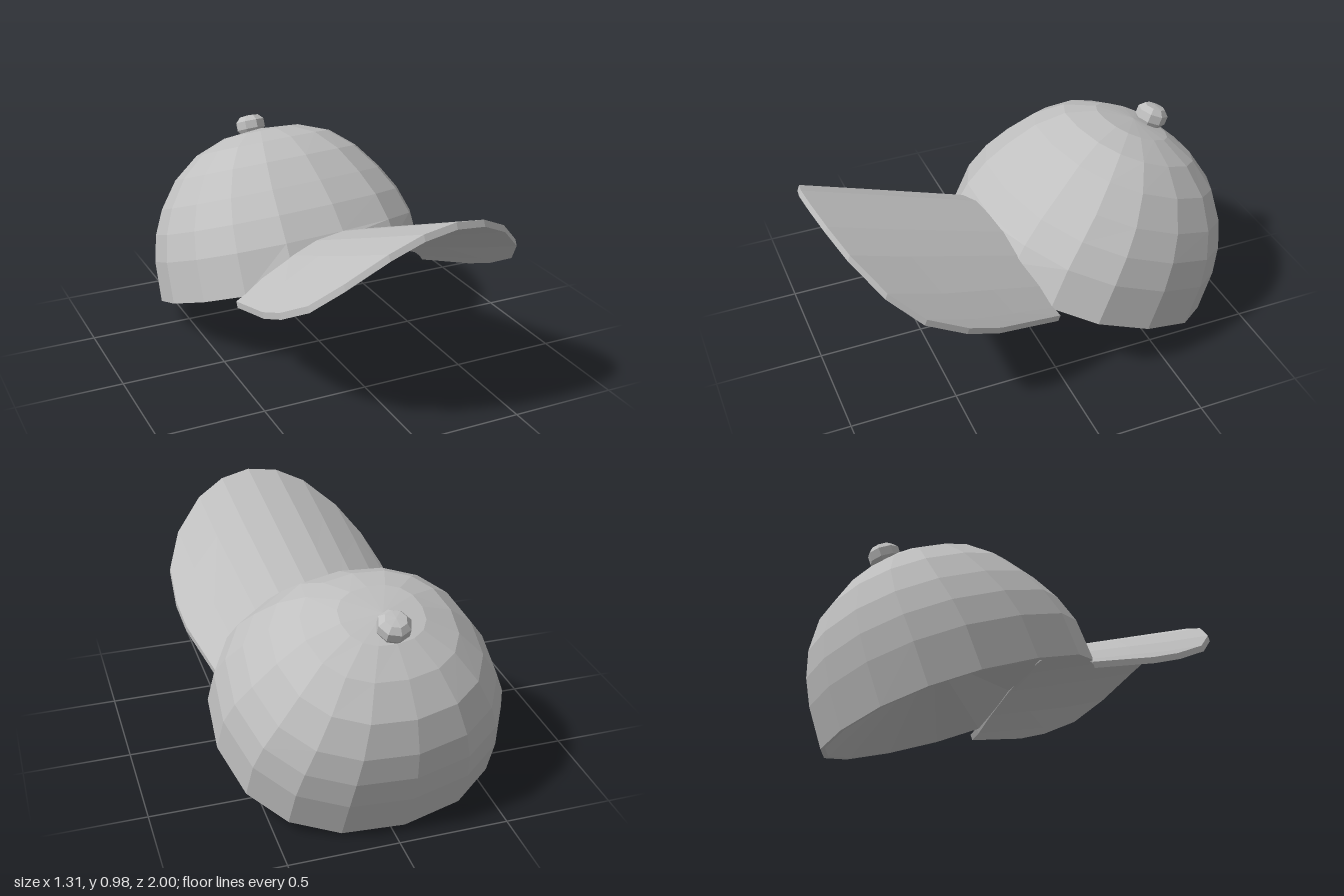
import * as THREE from 'three';

const fabric = new THREE.MeshStandardMaterial({ color: 0xc0c0c0, flatShading: true });
fabric.name = 'grey fabric';

// height of the arched brim at sideways position x
const arch = (x) => 0.2 - 0.25 * (x / 0.56) ** 2;

// Crown: rings of [height, front z, back z, half width], from the hollow inside, round the rim, to the top
function crownGeometry() {
  const sides = 16;
  const rings = [
    [0.265, 0.05, 0.05, 0], [0, 0.68, -0.51, 0.64], [0, 0.7, -0.53, 0.66],
    [0.2, 0.684, -0.525, 0.65], [0.33, 0.635, -0.505, 0.615], [0.45, 0.565, -0.465, 0.555],
    [0.58, 0.475, -0.38, 0.46], [0.68, 0.365, -0.245, 0.34], [0.738, 0.23, -0.1, 0.19],
    [0.755, 0.06, 0.06, 0],
  ];
  const round = (t) => Math.sign(t) * Math.abs(t) ** 0.87;
  const points = [], faces = [];
  rings.forEach(([h, front, back, wide], r) => {
    for (let i = 0; i < sides; i++) {
      const a = (i / sides) * Math.PI * 2;
      const x = wide * round(Math.sin(a));
      const z = (front + back) / 2 + ((front - back) / 2) * round(Math.cos(a));
      // the front of the rim rises to follow the underside of the brim
      const onRim = (r === 1 || r === 2) && z > 0.4;
      points.push(x, onRim ? Math.max(0, arch(x) - 0.025) : h, z);
      if (r < rings.length - 1) {
        const p = r * sides + i, q = r * sides + ((i + 1) % sides);
        if (r > 0) faces.push(p, q, q + sides);
        if (r < rings.length - 2) faces.push(p, q + sides, p + sides);
      }
    }
  });
  const g = new THREE.BufferGeometry();
  g.setAttribute('position', new THREE.Float32BufferAttribute(points, 3));
  g.setIndex(faces);
  g.computeVertexNormals();
  return g;
}

// Brim: a thin slab whose columns are stretched to the outline and bent into an arch
function brimGeometry() {
  const half = [ // sideways position, front z, back z
    [0, 1.59, 0.66], [0.15, 1.57, 0.655], [0.29, 1.51, 0.63],
    [0.44, 1.375, 0.575], [0.53, 1.206, 0.53], [0.56, 1.0, 0.5],
  ];
  const g = new THREE.BoxGeometry(10, 1, 1, 10, 1, 3);
  const pos = g.attributes.position;
  for (let i = 0; i < pos.count; i++) {
    const col = Math.round(pos.getX(i));
    const [wide, front, back] = half[Math.abs(col)];
    const t = pos.getZ(i) + 0.5;
    const x = Math.sign(col) * wide * (0.93 + 0.07 * Math.min(1, t * 1.5));
    const y = arch(x) - (pos.getY(i) < 0 ? 0.03 : 0);
    pos.setXYZ(i, x, y, back + (front - back) * t);
  }
  g.computeVertexNormals();
  return g;
}

// Button: a small flattened knob
function buttonGeometry() {
  const profile = [[0, -0.05], [0.055, -0.05], [0.075, -0.02], [0.075, 0.02], [0.05, 0.045], [0, 0.05]];
  return new THREE.LatheGeometry(profile.map(([x, y]) => new THREE.Vector2(x, y)), 8);
}

export function createModel() {
  const model = new THREE.Group();
  model.name = 'cap';
  const tilted = new THREE.Group();
  tilted.name = 'tiltedCap';
  model.add(tilted);

  const add = (name, geometry) => {
    const mesh = new THREE.Mesh(geometry, fabric);
    mesh.name = name;
    tilted.add(mesh);
    return mesh;
  };
  add('crown', crownGeometry());
  add('brim', brimGeometry());
  add('button', buttonGeometry()).position.set(0, 0.785, -0.04);

  // the cap leans back and turns slightly to its left
  tilted.rotation.set(-0.384, 0.11, 0, 'YXZ');
  tilted.position.set(-0.01, 0.2, -0.4);
  return model;
}
